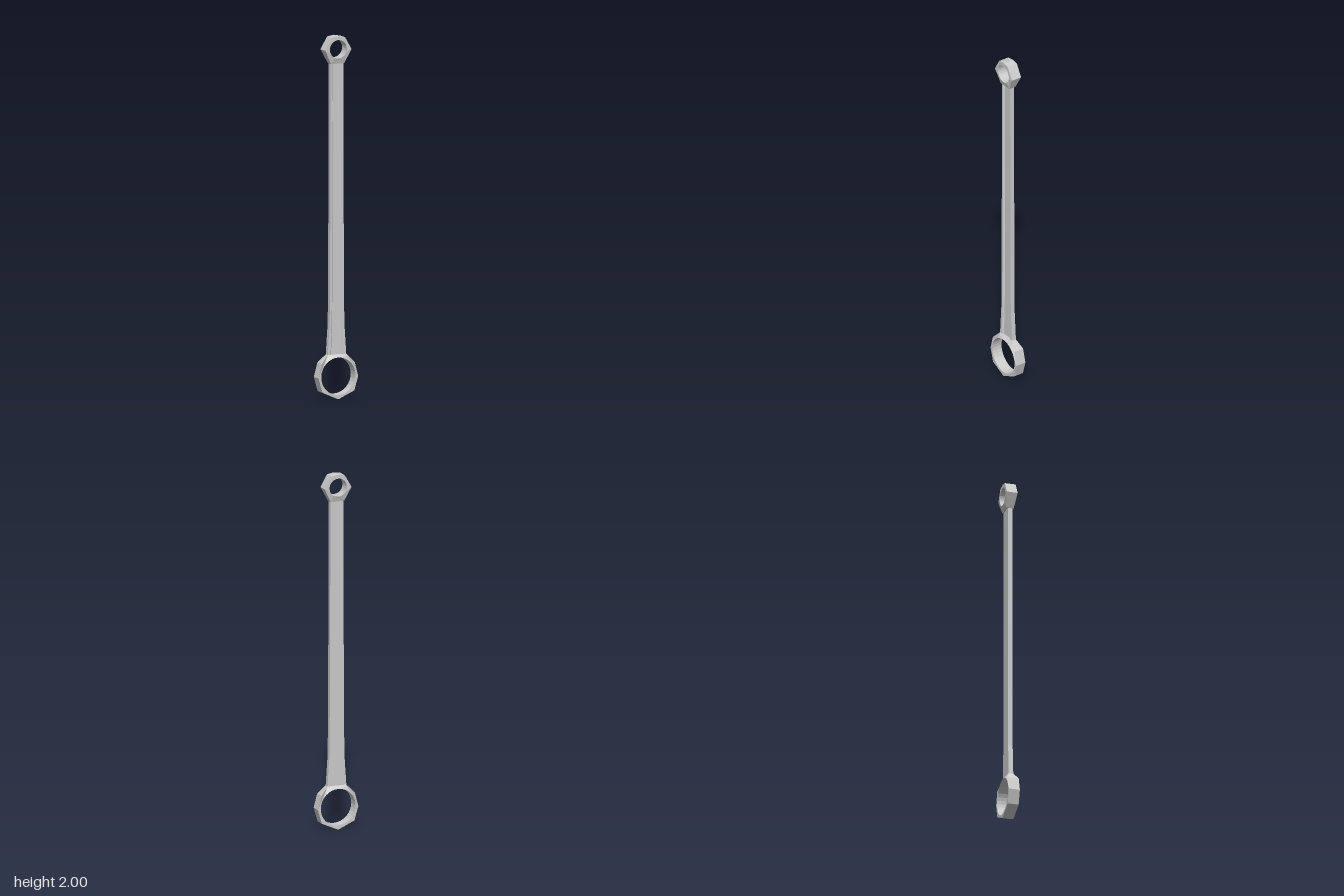
import * as THREE from 'three';

const material = new THREE.MeshStandardMaterial({ color: 0xcccccc, flatShading: true });
const HALF_DEPTH = 0.031;

// Faceted eye with a round hole; outer corners flagged with a third value are pinched to that half depth.
function makeEye(name, half, cy, holeRadius, sides) {
  const mirrored = half.filter(p => p[0] > 0).reverse().map(([x, y, z]) => [-x, y, z]);
  const outline = [...half, ...mirrored];
  const shape = new THREE.Shape(outline.map(([x, y]) => new THREE.Vector2(x, y)));
  const hole = [];
  for (let i = 0; i < sides; i++) {
    const a = -i / sides * Math.PI * 2;
    hole.push(new THREE.Vector2(Math.cos(a) * holeRadius, cy + Math.sin(a) * holeRadius));
  }
  shape.holes.push(new THREE.Path(hole));
  const geometry = new THREE.ExtrudeGeometry(shape, { depth: HALF_DEPTH * 2, bevelEnabled: false, steps: 1 });
  geometry.translate(0, 0, -HALF_DEPTH);
  const pos = geometry.attributes.position;
  for (let i = 0; i < pos.count; i++) {
    const corner = outline.find(([x, y, z]) => z && Math.hypot(pos.getX(i) - x, pos.getY(i) - y) < 1e-4);
    if (corner) pos.setZ(i, Math.sign(pos.getZ(i)) * corner[2]);
  }
  geometry.computeVertexNormals();
  const mesh = new THREE.Mesh(geometry, material);
  mesh.name = name;
  return mesh;
}

// Flat-backed bar with a shallow channel along its front, lofted through [y, half width, half channel].
function makeShank() {
  const stations = [[0.24, 0.056, 0.032], [0.42, 0.044, 0.025], [0.8, 0.041, 0.023], [1.855, 0.038, 0.021]];
  const t = 0.013, floor = 0.004;
  const rings = stations.map(([y, w, g]) => [
    [w, -t], [-w, -t], [-w, t], [-g - 0.007, t], [-g, floor], [g, floor], [g + 0.007, t], [w, t],
  ].map(([x, z]) => new THREE.Vector3(x, y, z)));
  const points = [];
  for (let s = 0; s < rings.length - 1; s++) {
    const lo = rings[s], hi = rings[s + 1];
    for (let i = 0; i < 8; i++) {
      const j = (i + 1) % 8;
      points.push(lo[i], lo[j], hi[j], lo[i], hi[j], hi[i]);
    }
  }
  // End caps, split around the channel
  const bottom = rings[0], top = rings[rings.length - 1];
  for (const [a, b, c] of [[0, 1, 4], [0, 4, 5], [1, 2, 3], [1, 3, 4], [0, 5, 6], [0, 6, 7]]) {
    points.push(bottom[a], bottom[c], bottom[b], top[a], top[b], top[c]);
  }
  const geometry = new THREE.BufferGeometry().setFromPoints(points);
  geometry.computeVertexNormals();
  const mesh = new THREE.Mesh(geometry, new THREE.MeshStandardMaterial({
    color: 0xcccccc, flatShading: true, side: THREE.DoubleSide,
  }));
  mesh.name = 'shank';
  return mesh;
}

export function createModel() {
  const group = new THREE.Group();
  group.name = 'connectingRod';

  // Outline halves run from the bottom up the +x side
  const bigEye = makeEye('bigEye',
    [[0, 0], [0.096, 0.043], [0.119, 0.122], [0.098, 0.2], [0.056, 0.245, 0.013]], 0.127, 0.103, 32);
  const smallEye = makeEye('smallEye',
    [[0.04, 1.848, 0.02], [0.079, 1.925], [0.04, 1.993], [0, 2]], 1.928, 0.051, 24);

  group.add(bigEye, smallEye, makeShank());
  return group;
}
